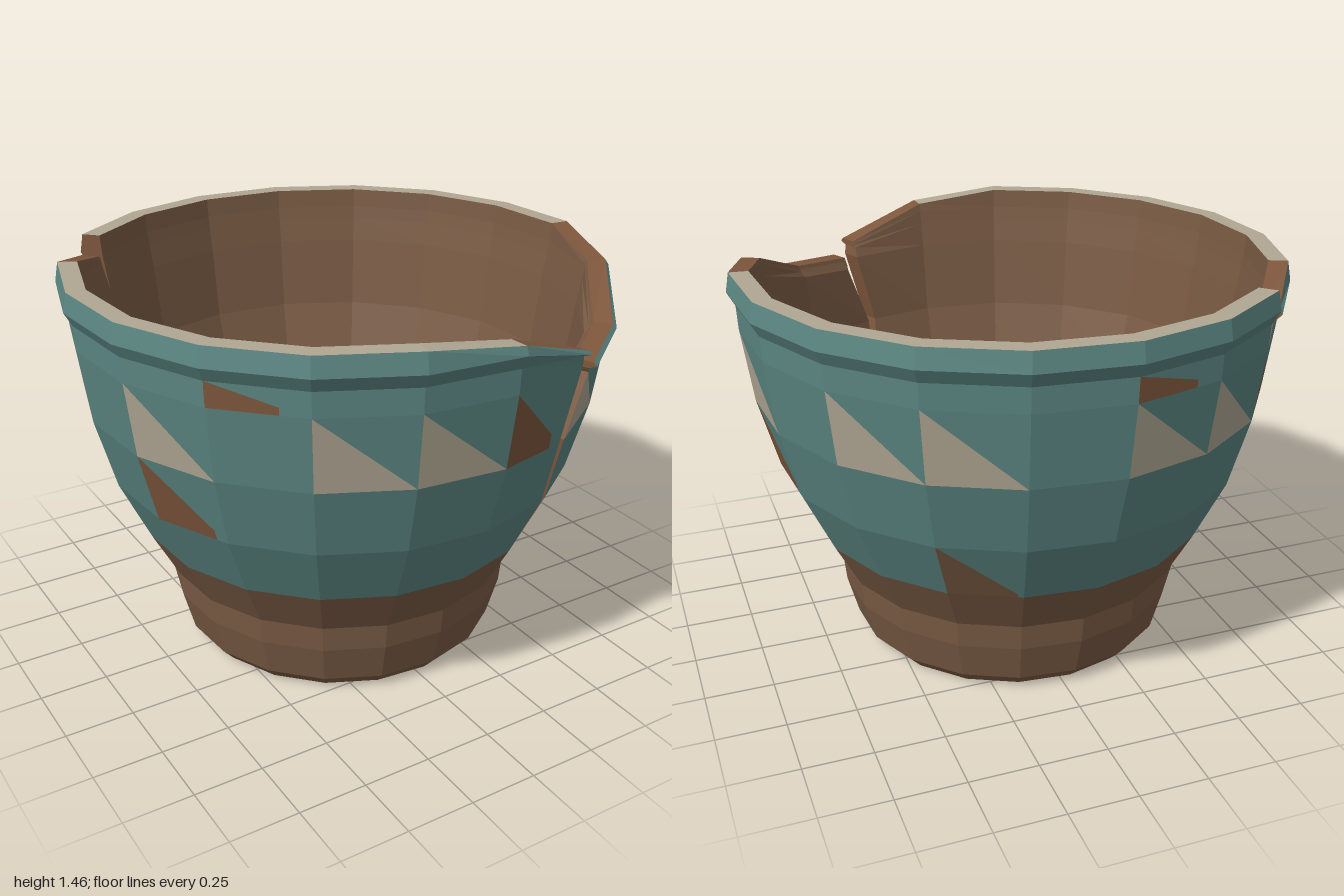
import * as THREE from 'three';

const MATERIALS = {
  glaze: new THREE.MeshStandardMaterial({ color: 0x5b8682 }),
  clay: new THREE.MeshStandardMaterial({ color: 0x7a5b44 }),
  cream: new THREE.MeshStandardMaterial({ color: 0xb0a793 }),
  bareChip: new THREE.MeshStandardMaterial({ color: 0x7e573c }),
};

// Wall profile [radius, height]: up the outside, over the lip, down the inside.
const PROFILE = [
  [0.56, 0], [0.605, 0.05], [0.645, 0.2], [0.655, 0.3], [0.75, 0.48], [0.862, 0.72],
  [0.932, 0.98], [0.968, 1.25], [0.972, 1.34], [1.0, 1.39], [0.987, 1.46],
  [0.918, 1.46], [0.912, 1.39], [0.905, 1.34], [0.89, 1.25], [0.855, 0.98],
  [0.785, 0.72], [0.67, 0.48], [0.595, 0.3], [0.495, 0.12],
];
const LIP = 10, GLAZE_START = 4, LAST = PROFILE.length - 1;
const SIDES = 18, STEP = 360 / SIDES, START = 65.8;

// Two shards, each a run of columns, with the broken rim height at some columns
// and the sideways drift (degrees) of its two broken edges at given heights.
const SHARDS = [
  { from: 0, to: 8, cut: { 0: 1.31, 1: 1.42, 8: 1.385 }, capFrom: [4, 7],
    drift: [[[0.48, 0], [0.72, 0], [0.98, 3], [1.25, -0.4], [1.34, 0]], [[1.25, 0], [1.34, -1.2]]] },
  { from: 8, to: 18, cut: { 16: 1.41, 17: 1.285, 18: 1.25 }, capFrom: [7, 4],
    drift: [[[0.98, 0]], [[0.48, 0], [0.72, -1.4], [0.98, 0.8], [1.25, -3.6], [1.34, -3]]] },
];

// Painted triangles and worn chips: row -> { segment: [part, width fraction] }
const PAINT = { 4: { 11: ['wornBase', 0.93] }, 5: {}, 6: {}, 7: {}, 8: {} };
for (const k of [1, 2, 4, 6, 8, 9, 11, 12, 14, 15, 17]) PAINT[6][k] = ['paintedTriangles', 1];
for (const k of [0, 7]) PAINT[6][k] = ['glazeChips', 0.8];
for (const k of [4, 14]) PAINT[5][k] = ['glazeChips', 0.85];
for (const k of [3, 9]) PAINT[7][k] = ['glazeChips', 0.7];
PAINT[8][14] = ['glazeChips', 0.4];

const BARE_LIP = [0, 7, 15, 16, 17];

function driftAt(table, y) {
  if (y <= table[0][0]) return table[0][1];
  for (let i = 1; i < table.length; i++) {
    const [y0, a0] = table[i - 1], [y1, a1] = table[i];
    if (y <= y1) return a0 + (a1 - a0) * (y - y0) / (y1 - y0);
  }
  return table[table.length - 1][1];
}

// Point of the wall at a column and profile index
function wallPoint(shard, col, j) {
  const [r, y] = PROFILE[j];
  let angle = START + col * STEP;
  if (col === shard.from) angle += driftAt(shard.drift[0], y);
  if (col === shard.to) angle += driftAt(shard.drift[1], y);
  const a = THREE.MathUtils.degToRad(angle);
  const cut = shard.cut[col] ?? 1.6;
  return new THREE.Vector3(r * Math.cos(a), Math.min(y, cut - (1.46 - y) * 0.2), r * Math.sin(a));
}

export function createModel() {
  const group = new THREE.Group();
  group.name = 'brokenPot';
  const parts = {
    glazedWall: ['glaze', []], clayFoot: ['clay', []], innerWall: ['clay', []],
    potFloor: ['clay', []], footUnderside: ['clay', []], creamLip: ['cream', []],
    brokenLip: ['bareChip', []], fractureFaces: ['bareChip', []],
    paintedTriangles: ['cream', []], glazeChips: ['bareChip', []], wornBase: ['clay', []],
  };
  // Fan-triangulated polygon added to a named part
  const face = (part, ...p) => {
    for (let i = 2; i < p.length; i++)
      for (const v of [p[0], p[i - 1], p[i]]) parts[part][1].push(v.x, v.y, v.z);
  };

  for (const shard of SHARDS) {
    for (let k = shard.from; k < shard.to; k++) {
      for (let j = 0; j < LAST; j++) {
        const hiTop = wallPoint(shard, k + 1, j + 1), hiBot = wallPoint(shard, k + 1, j);
        const loTop = wallPoint(shard, k, j + 1), loBot = wallPoint(shard, k, j);
        let part = 'innerWall';
        if (j < GLAZE_START) part = 'clayFoot';
        else if (j < LIP) part = 'glazedWall';
        else if (j === LIP) part = BARE_LIP.includes(k) ? 'brokenLip' : 'creamLip';
        face(part, hiTop, loBot, loTop);
        const paint = PAINT[j]?.[k];
        if (paint) {
          // painted half of the panel, cut short at its tip where worn
          const p = hiBot.clone().lerp(loBot, paint[1]);
          const q = hiTop.clone().lerp(loBot, paint[1]);
          face(paint[0], hiTop, hiBot, p, q);
          if (paint[1] < 1) face(part, q, p, loBot);
        } else face(part, hiTop, hiBot, loBot);
      }
      // floor inside and underside of the foot
      face('potFloor', new THREE.Vector3(0, PROFILE[LAST][1], 0),
        wallPoint(shard, k + 1, LAST), wallPoint(shard, k, LAST));
      face('footUnderside', new THREE.Vector3(0, 0, 0),
        wallPoint(shard, k, 0), wallPoint(shard, k + 1, 0));
    }
    // broken edges through the thickness of the wall
    [shard.from, shard.to].forEach((col, end) => {
      for (let j = shard.capFrom[end]; j < LIP; j++) {
        const quad = [j + 1, j, 21 - j, 20 - j].map((i) => wallPoint(shard, col, i));
        if (end) quad.reverse();
        face('fractureFaces', ...quad);
      }
    });
  }

  for (const [name, [material, points]] of Object.entries(parts)) {
    const geometry = new THREE.BufferGeometry();
    geometry.setAttribute('position', new THREE.Float32BufferAttribute(points, 3));
    geometry.computeVertexNormals(); // unshared corners give flat facets
    const mesh = new THREE.Mesh(geometry, MATERIALS[material]);
    mesh.name = name;
    group.add(mesh);
  }
  return group;
}
